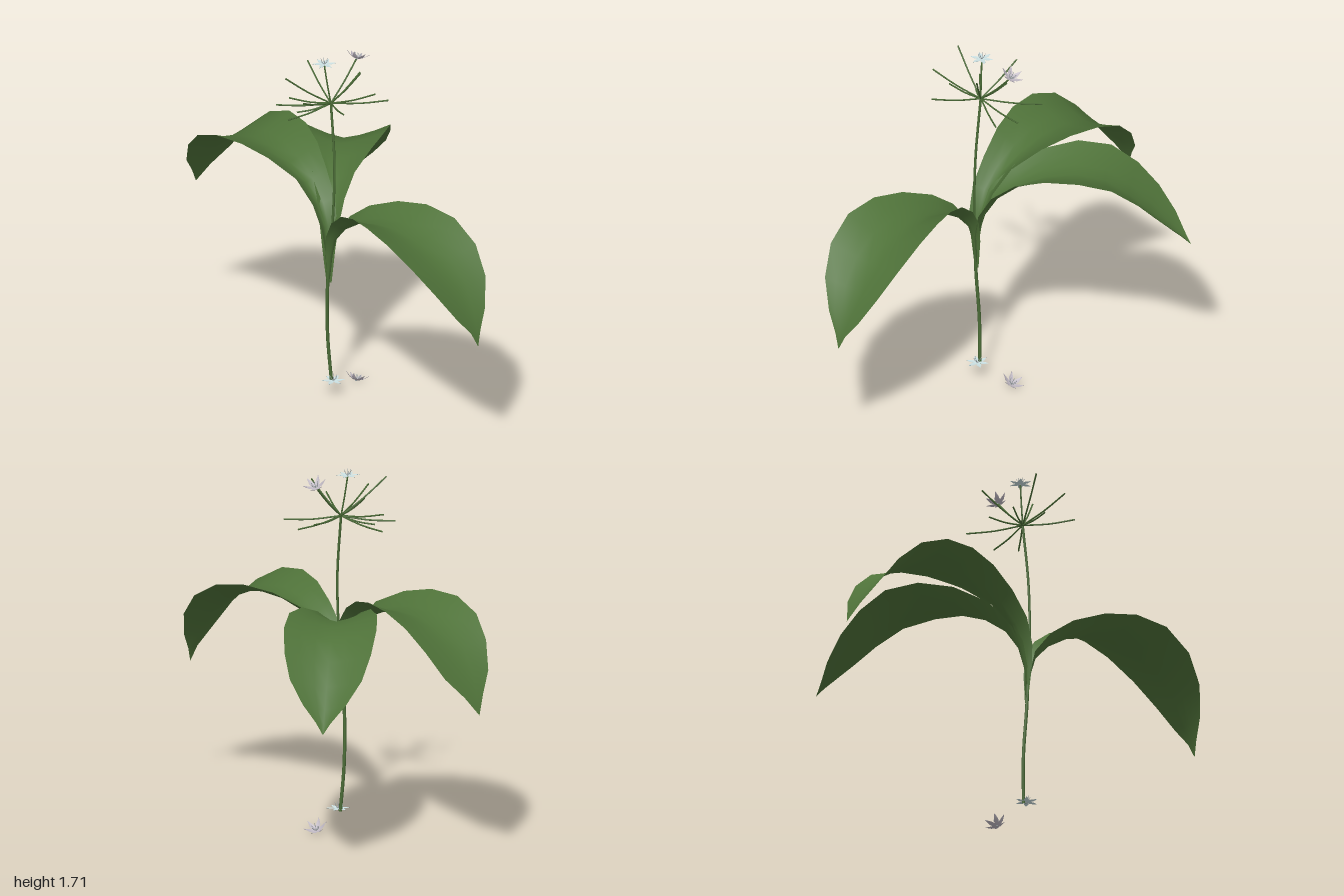
import * as THREE from 'three';

const mat = (name, color, side = THREE.FrontSide) => {
  const m = new THREE.MeshStandardMaterial({ color, side });
  m.name = name;
  return m;
};
const V = (p) => new THREE.Vector3(...p);

// Grid surface from rows of points, smooth shaded
function gridGeometry(rows) {
  const n = rows[0].length, pos = [], idx = [];
  rows.forEach((row) => row.forEach((p) => pos.push(...p)));
  for (let i = 0; i < rows.length - 1; i++) {
    for (let j = 0; j < n - 1; j++) {
      const a = i * n + j, b = a + n;
      idx.push(a, b, a + 1, a + 1, b, b + 1);
    }
  }
  const g = new THREE.BufferGeometry();
  g.setAttribute('position', new THREE.Float32BufferAttribute(pos, 3));
  g.setIndex(idx);
  g.computeVertexNormals();
  return g;
}

// Folded leaf: profile rows are [reach, height, half width, fold depth]; bend bows it sideways
function leafGeometry(tipX, tipZ, bend, profile) {
  const ox = -0.238, oz = 0;
  const len = Math.hypot(tipX - ox, tipZ - oz);
  const dx = (tipX - ox) / len, dz = (tipZ - oz) / len;
  const last = profile.length - 1;
  const rows = profile.map(([d, y, w, fold], i) => {
    const a = profile[Math.max(i - 1, 0)], b = profile[Math.min(i + 1, last)];
    const td = (b[0] - a[0]) * len, ty = b[1] - a[1], tl = Math.hypot(td, ty);
    const shift = bend * Math.sin(Math.PI * d);
    return [-1, -0.66, -0.33, 0, 0.33, 0.66, 1].map((s) => {
      const lift = fold * Math.abs(s) ** 1.4;
      const r = d * len - (ty / tl) * lift, q = w * s + shift;
      return [ox + dx * r - dz * q, y + (td / tl) * lift, oz + dz * r + dx * q];
    });
  });
  return gridGeometry(rows);
}

const frontProfile = [
  [0, 0.58, 0.012, 0], [0.02, 0.72, 0.025, 0.02], [0.05, 0.815, 0.035, 0.035],
  [0.12, 0.895, 0.06, 0.05], [0.22, 0.96, 0.09, 0.062], [0.35, 1.003, 0.145, 0.07],
  [0.48, 1.018, 0.192, 0.072], [0.62, 0.998, 0.217, 0.07], [0.76, 0.937, 0.205, 0.053],
  [0.87, 0.845, 0.16, 0.032], [0.945, 0.735, 0.09, 0.012], [0.985, 0.66, 0.03, 0], [1, 0.59, 0, 0],
];
const backProfile = [
  [0, 0.58, 0.012, 0], [0.01, 0.75, 0.03, 0.02], [0.03, 0.85, 0.045, 0.035],
  [0.08, 0.95, 0.065, 0.05], [0.17, 1.03, 0.09, 0.065], [0.3, 1.085, 0.145, 0.075],
  [0.43, 1.115, 0.19, 0.075], [0.57, 1.115, 0.217, 0.07], [0.7, 1.08, 0.213, 0.055],
  [0.81, 1.01, 0.182, 0.03], [0.9, 0.905, 0.13, 0.01], [0.96, 0.82, 0.055, 0], [1, 0.735, 0, 0],
];
const sideProfile = [
  [0, 0.58, 0.012, 0], [0.01, 0.75, 0.03, 0.02], [0.04, 0.86, 0.045, 0.035],
  [0.1, 0.95, 0.065, 0.045], [0.2, 1.02, 0.1, 0.055], [0.33, 1.065, 0.16, 0.062],
  [0.47, 1.075, 0.205, 0.066], [0.6, 1.045, 0.216, 0.072], [0.71, 0.97, 0.202, 0.07],
  [0.81, 0.88, 0.168, 0.06], [0.9, 0.795, 0.1, 0.04], [0.96, 0.74, 0.035, 0.015], [1, 0.7, 0, 0],
];

const umbel = [-0.22, 1.49, -0.01];
const upright = [-0.24, 1.685, -0.035], tilted = [-0.05, 1.66, -0.04];
// Tips of the flower stalks
const rayTips = [
  upright, tilted,
  [-0.44, 1.655, -0.07], [-0.45, 1.585, 0.08], [-0.455, 1.46, -0.03], [-0.41, 1.47, -0.18],
  [-0.13, 1.66, 0.1], [-0.2, 1.625, -0.22], [0.05, 1.52, -0.15], [0.035, 1.465, -0.01],
  [0.02, 1.485, 0.115], [-0.29, 1.45, -0.24], [-0.35, 1.445, -0.1], [-0.31, 1.54, 0.22],
];

export function createModel() {
  const model = new THREE.Group();
  const leafMat = mat('leaf green', 0x4f7239, THREE.DoubleSide);
  const stemMat = mat('stem green', 0x4a6b36);
  const paleMat = mat('pale blue petal', 0xcbe0e2, THREE.DoubleSide);
  const lilacMat = mat('grey lilac petal', 0xbfb8c2, THREE.DoubleSide);
  const stamenMat = mat('stamen grey', 0xa4adb0);

  const add = (name, geometry, material, parent = model) => {
    const m = new THREE.Mesh(geometry, material);
    m.name = name;
    parent.add(m);
    return m;
  };
  const tube = (pts, radius, segs, sides) =>
    new THREE.TubeGeometry(new THREE.CatmullRomCurve3(pts.map(V)), segs, radius, sides);

  // Stem
  add('lowerStem', tube([[-0.22, 0.065, -0.005], [-0.235, 0.3, -0.015], [-0.245, 0.55, -0.003],
    [-0.238, 0.75, 0.01]], 0.008, 16, 8), stemMat);
  add('upperStem', tube([[-0.238, 0.74, 0.01], [-0.23, 0.95, 0.022], [-0.222, 1.2, 0.02],
    umbel], 0.006, 16, 8), stemMat);

  // Leaves
  add('frontLeaf', leafGeometry(-0.11, 0.995, 0.026, frontProfile), leafMat);
  add('backLeaf', leafGeometry(-0.27, -1, 0.004, backProfile), leafMat);
  add('sideLeaf', leafGeometry(0.44, -0.73, 0, sideProfile), leafMat);

  // Flower stalks, gently bowed
  const stalks = new THREE.Group();
  stalks.name = 'flowerStalks';
  model.add(stalks);
  rayTips.forEach((tip) => {
    const mid = umbel.map((c, i) => (c + tip[i]) / 2);
    mid[1] -= 0.008;
    add('flowerStalk', tube([umbel, mid, tip], 0.004, 6, 5), stemMat, stalks);
  });

  // Six-petalled flowers with upright stamens
  const flower = (name, at, axis, cup, petalMat) => {
    const g = new THREE.Group();
    g.name = name;
    const petal = gridGeometry([[0, 0.004], [0.015, 0.01], [0.032, 0.011], [0.055, 0.0005]]
      .map(([r, w]) => [-1, 0, 1].map((s) => [r, cup * r * r * 12 + Math.abs(s) * 0.002, -w * s])));
    for (let i = 0; i < 6; i++) {
      const a = (i * Math.PI) / 3 + Math.PI / 6;
      add('petal', petal, petalMat, g).rotation.y = a;
      const b = a + Math.PI / 6, c = Math.cos(b), s = Math.sin(b);
      add('stamen', tube([[0, 0, 0], [0.012 * c, 0.012, 0.012 * s], [0.018 * c, 0.028, 0.018 * s]],
        0.0014, 3, 4), stamenMat, g);
    }
    add('flowerCentre', new THREE.SphereGeometry(0.005, 8, 6), stamenMat, g);
    g.position.set(...at);
    g.quaternion.setFromUnitVectors(new THREE.Vector3(0, 1, 0), V(axis).normalize());
    model.add(g);
  };
  const lean = [0.4, 0.85, -0.15];
  flower('topFlower', upright, [0, 1, 0], 0.08, paleMat);
  flower('topTiltedFlower', tilted, lean, 0.8, lilacMat);
  flower('baseFlower', [-0.22, 0.075, 0.01], [0, 1, 0], 0.08, paleMat);
  flower('fallenFlower', [-0.05, 0.01, -0.045], lean, 0.8, lilacMat);

  return model;
}
